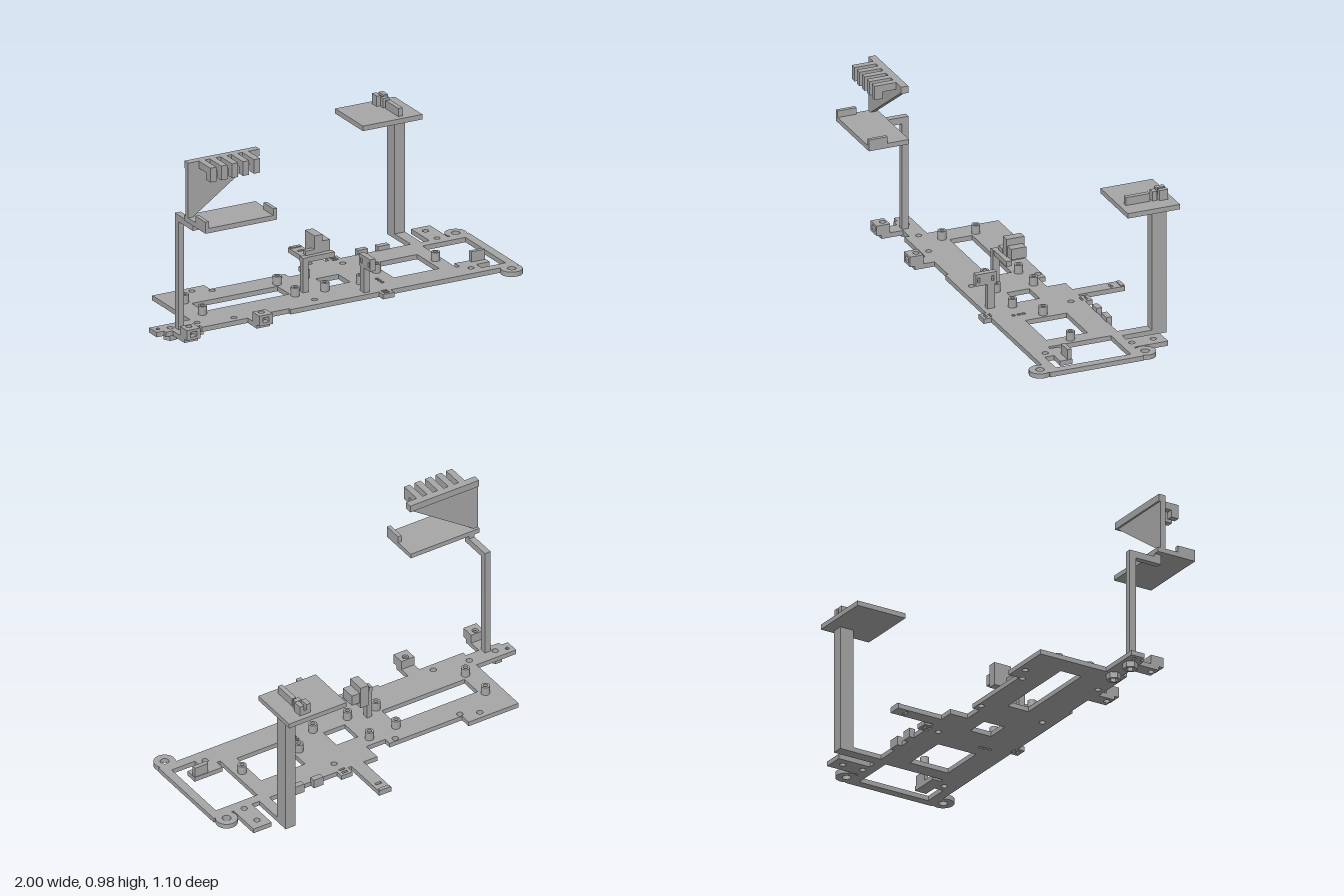
import * as THREE from 'three';

const TOP = 0.055, BOTTOM = 0.03;

export function createModel() {
  const model = new THREE.Group();
  model.name = 'mountingFrame';
  const grey = new THREE.MeshStandardMaterial({ color: 0xa6a6a6 });
  grey.name = 'grey plastic';

  const add = (name, geometry) => {
    const mesh = new THREE.Mesh(geometry, grey);
    mesh.name = name;
    model.add(mesh);
    return mesh;
  };
  // Box given by its limits on each axis
  const box = (name, x0, x1, y0, y1, z0, z1) => add(name,
    new THREE.BoxGeometry(x1 - x0, y1 - y0, z1 - z0)
      .translate((x0 + x1) / 2, (y0 + y1) / 2, (z0 + z1) / 2));
  const poly = pts => pts.map(p => new THREE.Vector2(p[0], p[1]));
  const rect = (x0, x1, z0, z1) => poly([[x0, z0], [x1, z0], [x1, z1], [x0, z1]]);
  const circle = (x, z, r, n = 20) => Array.from({ length: n }, (_, i) => {
    const a = i / n * Math.PI * 2;
    return new THREE.Vector2(x + r * Math.cos(a), z + r * Math.sin(a));
  });
  // Horizontal plate from an (x, z) outline with holes
  const plate = (name, outline, holes, y0, y1) => {
    const shape = new THREE.Shape(outline);
    holes.forEach(h => shape.holes.push(new THREE.Path(h)));
    return add(name, new THREE.ExtrudeGeometry(shape, { depth: y1 - y0, bevelEnabled: false })
      .rotateX(Math.PI / 2).translate(0, y1, 0));
  };

  // Base plate with its tabs and openings
  const outline = poly([
    [-1, 0.13], [-0.77, 0.13], [-0.77, -0.25], [-0.48, -0.25], [-0.48, -0.19], [-0.06, -0.19],
    [-0.06, -0.15], [0.05, -0.15], [0.05, -0.25], [0.13, -0.25], [0.13, -0.5], [0.2, -0.5],
    [0.2, -0.25], [0.22, -0.25], [0.22, -0.29], [0.285, -0.29], [0.285, -0.25],
    [0.677, -0.25], [0.677, -0.487], [0.735, -0.487], [0.735, -0.25],
    [0.78, -0.25], [0.78, -0.43], [0.885, -0.43], [0.885, -0.25], [1, -0.25], [1, 0.25],
    [0.285, 0.25], [0.285, 0.29], [0.22, 0.29], [0.22, 0.25], [-0.275, 0.25], [-0.275, 0.235],
    [-0.44, 0.235], [-0.44, 0.34], [-0.515, 0.34], [-0.515, 0.25], [-0.77, 0.25], [-0.77, 0.225],
    [-0.845, 0.225], [-0.845, 0.34], [-0.92, 0.34], [-0.92, 0.225], [-0.96, 0.225],
    [-0.96, 0.205], [-1, 0.205]]);
  const openings = [
    rect(-0.655, -0.175, -0.06, 0.06), rect(0.04, 0.165, -0.06, 0.06), rect(0.38, 0.635, -0.11, 0.11),
    poly([[0.715, -0.2], [0.955, -0.2], [0.955, 0.2], [0.82, 0.2], [0.82, 0.15], [0.895, 0.15],
      [0.895, 0.085], [0.735, 0.085], [0.735, 0.135], [0.715, 0.135]]),
    rect(0.148, 0.182, -0.445, -0.43)];
  [-0.275, -0.25, 0.237, 0.262].forEach(z => openings.push(rect(0.236, 0.268, z, z + 0.012)));
  [[-0.57, -0.21], [-0.48, -0.17], [-0.105, -0.17], [-0.57, 0.21], [-0.105, 0.185], [0.26, -0.185],
    [0.775, 0.178], [0.83, -0.375], [0.83, -0.26], [-0.48, 0.318], [-0.883, 0.318], [-0.76, 0.18],
    [-0.91, 0.18]].forEach(([x, z]) => openings.push(circle(x, z, 0.016)));
  [[-0.97, 0.165], [0.3, 0.085], [0.3, 0.11], [0.3, 0.138]]
    .forEach(([x, z]) => openings.push(circle(x, z, 0.01, 10)));
  plate('basePlate', outline, openings, BOTTOM, TOP);

  // Round mounting ears
  for (const s of [-1, 1])
    plate('mountingEar', circle(0.945, s * 0.28, 0.055, 28), [circle(0.945, s * 0.28, 0.022)], BOTTOM, TOP);

  // Hollow standoffs
  [[-0.68, -0.09], [-0.68, 0.09], [-0.16, -0.09], [-0.16, 0.09], [0, -0.1], [0, 0.1],
    [0.2, 0.1], [0.345, 0], [0.675, 0]].forEach(([x, z]) =>
    plate('standoff', circle(x, z, 0.022), [circle(x, z, 0.011, 12)], TOP, 0.1));

  // Hexagonal nut sockets under the left tab
  [-0.91, -0.76].forEach(x =>
    plate('nutSocket', circle(x, 0.18, 0.037, 6), [circle(x, 0.18, 0.022, 6)], 0, BOTTOM));

  // Slotted screw blocks on the two front tabs
  [-0.92, -0.515].forEach(x => {
    const hole = [circle(x + 0.037, 0.318, 0.016)];
    plate('screwBlockFloor', rect(x, x + 0.075, 0.295, 0.366), hole, 0.05, 0.064);
    plate('screwBlockRoof', rect(x, x + 0.075, 0.295, 0.366), hole, 0.09, 0.103);
    for (const dx of [0, 0.055]) box('screwBlockWall', x + dx, x + dx + 0.02, 0.064, 0.09, 0.295, 0.366);
    box('screwBlockBack', x + 0.02, x + 0.055, 0.064, 0.09, 0.295, 0.302);
  });

  // Left post, arm and tray
  box('leftPost', -0.89, -0.857, BOTTOM, 0.655, 0.19, 0.225);
  box('leftPostArm', -0.89, -0.857, 0.62, 0.655, 0.225, 0.37);
  box('leftPostRiser', -0.89, -0.857, 0.655, 0.68, 0.335, 0.37);
  box('trayFloor', -0.92, -0.52, 0.67, 0.695, 0.335, 0.55);
  box('trayLeftLip', -0.92, -0.9, 0.695, 0.73, 0.45, 0.55);
  box('trayRightLip', -0.54, -0.52, 0.695, 0.73, 0.45, 0.55);

  // Triangular web carrying the comb
  const web = new THREE.Shape(poly([[-0.92, 0.69], [-0.9, 0.69], [-0.53, 0.945], [-0.92, 0.945]]));
  add('combWeb', new THREE.ExtrudeGeometry(web, { depth: 0.027, bevelEnabled: false }).translate(0, 0, 0.35));
  box('combBar', -0.92, -0.52, 0.945, 0.982, 0.34, 0.378);
  for (let i = 0; i < 5; i++) {
    const x = -0.86 + i * 0.061;
    box('combTooth', x, x + 0.034, 0.945, 0.982, 0.378, 0.492);
    box('combHook', x, x + 0.034, 0.908, 0.945, 0.45, 0.492);
  }

  // Right post and platform
  box('rightPost', 0.677, 0.735, BOTTOM, 0.69, -0.487, -0.41);
  box('platform', 0.422, 0.755, 0.685, 0.711, -0.55, -0.272);
  box('platformRail', 0.637, 0.662, 0.711, 0.753, -0.43, -0.303);
  box('platformStop', 0.612, 0.675, 0.711, 0.733, -0.522, -0.475);
  box('platformClipLeft', 0.612, 0.637, 0.733, 0.765, -0.522, -0.475);
  box('platformClipRight', 0.65, 0.675, 0.733, 0.765, -0.522, -0.475);
  box('platformPeg', 0.63, 0.665, 0.711, 0.76, -0.468, -0.443);

  // Central bracket with its holder block
  box('bracketPost', -0.11, -0.08, TOP, 0.235, 0.047, 0.08);
  box('bracketArm', -0.11, 0.07, 0.208, 0.235, 0.045, 0.075);
  box('bracketBlock', -0.03, 0.015, 0.208, 0.328, -0.045, 0.05);
  box('bracketSidePad', 0.015, 0.06, 0.235, 0.292, -0.035, 0.045);
  box('bracketStep', -0.08, -0.03, 0.235, 0.258, 0.025, 0.052);

  // Small upright holder with a window near its front end
  box('holderPost', 0.15, 0.18, TOP, 0.185, 0.185, 0.225);
  const head = new THREE.Shape(rect(-0.285, -0.175, 0.185, 0.247));
  head.holes.push(new THREE.Path(rect(-0.278, -0.264, 0.202, 0.228)),
    new THREE.Path(rect(-0.204, -0.19, 0.202, 0.228)));
  add('holderHead', new THREE.ExtrudeGeometry(head, { depth: 0.03, bevelEnabled: false })
    .rotateY(Math.PI / 2).translate(0.15, 0, 0));

  // Small edge stops and upright sensor plate
  [[0.38, 0.435], [0.49, 0.555]].forEach(([a, b]) => box('edgeStop', a, b, BOTTOM, 0.078, -0.275, -0.245));
  box('uprightTab', 0.815, 0.892, TOP, 0.108, 0.088, 0.11);
  box('tailTabStop', 0.135, 0.195, TOP, 0.06, -0.5, -0.48);
  return model;
}
